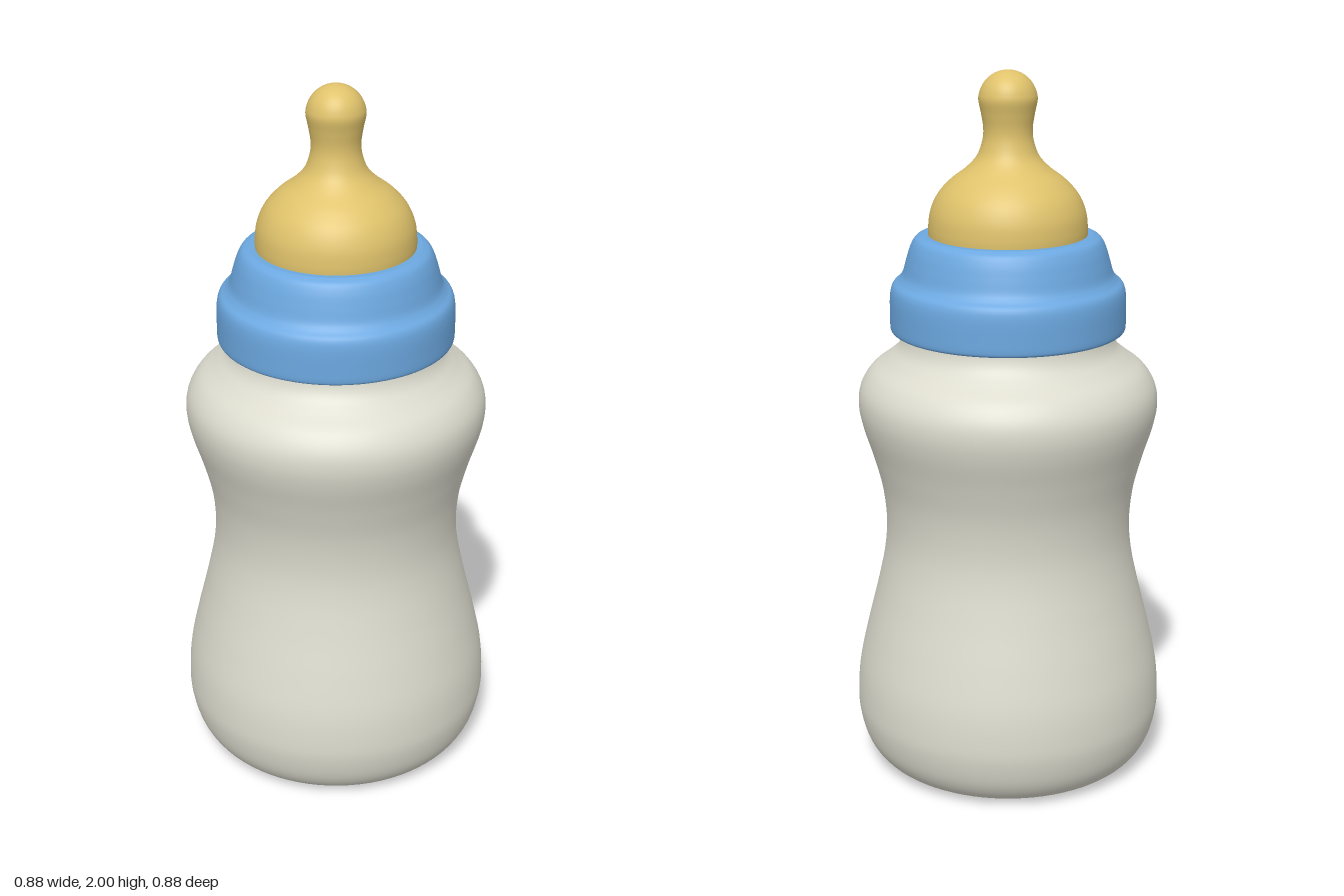
import * as THREE from 'three';

// Revolve each profile piece separately, so the joins between pieces stay crisp.
function revolve(name, material, pieces) {
  const group = new THREE.Group();
  group.name = name;
  for (const [part, points, smooth] of pieces) {
    let profile = points.map(([r, y]) => new THREE.Vector2(r, y));
    if (smooth) {
      profile = new THREE.SplineCurve(profile).getPoints(points.length * 6);
      profile.forEach((p) => { p.x = Math.max(p.x, 0); });
    }
    const mesh = new THREE.Mesh(new THREE.LatheGeometry(profile, 80), material);
    mesh.name = part;
    group.add(mesh);
  }
  return group;
}

export function createModel() {
  const bottleMaterial = new THREE.MeshStandardMaterial({ color: 0xdcdbce });
  const collarMaterial = new THREE.MeshStandardMaterial({ color: 0x6ca8e0 });
  const teatMaterial = new THREE.MeshStandardMaterial({ color: 0xdfc26b });
  bottleMaterial.name = 'milky plastic';
  collarMaterial.name = 'blue plastic';
  teatMaterial.name = 'yellow rubber';

  const model = new THREE.Group();
  model.name = 'babyBottle';

  // Waisted bottle with a flat base and a narrow neck
  model.add(revolve('bottle', bottleMaterial, [
    ['base', [[0, 0.005], [0.31, 0.005]], false],
    ['body', [
      [0.31, 0.005], [0.35, 0.012], [0.39, 0.038], [0.42, 0.085], [0.437, 0.15],
      [0.44, 0.21], [0.432, 0.3], [0.408, 0.41], [0.378, 0.53], [0.355, 0.64],
      [0.348, 0.73], [0.357, 0.83], [0.382, 0.93], [0.41, 1.02], [0.42, 1.08],
      [0.413, 1.13], [0.385, 1.175], [0.34, 1.21], [0.308, 1.24], [0.293, 1.275], [0.29, 1.32],
    ], true],
  ]));

  // Screw collar: flat underside, upright band, sloping shoulder, flat top
  model.add(revolve('collar', collarMaterial, [
    ['underside', [[0.27, 1.288], [0.32, 1.288]], false],
    ['band', [
      [0.32, 1.288], [0.327, 1.296], [0.328, 1.33], [0.327, 1.385], [0.32, 1.415],
      [0.303, 1.432], [0.291, 1.45], [0.281, 1.485], [0.27, 1.52], [0.256, 1.545], [0.236, 1.555],
    ], true],
    ['top', [[0.236, 1.555], [0.2, 1.555]], false],
  ]));

  // Domed teat with a thin stem and a round tip
  const teat = [
    [0.218, 1.54], [0.219, 1.575], [0.213, 1.62], [0.193, 1.665], [0.158, 1.704],
    [0.115, 1.737], [0.085, 1.77], [0.07, 1.81], [0.067, 1.845], [0.073, 1.885],
  ];
  for (let i = 0; i <= 6; i++) {
    const angle = (i / 6) * Math.PI / 2;
    teat.push([0.08 * Math.cos(angle), 1.92 + 0.08 * Math.sin(angle)]);
  }
  model.add(revolve('teat', teatMaterial, [['teatSurface', teat, true]]));

  return model;
}
